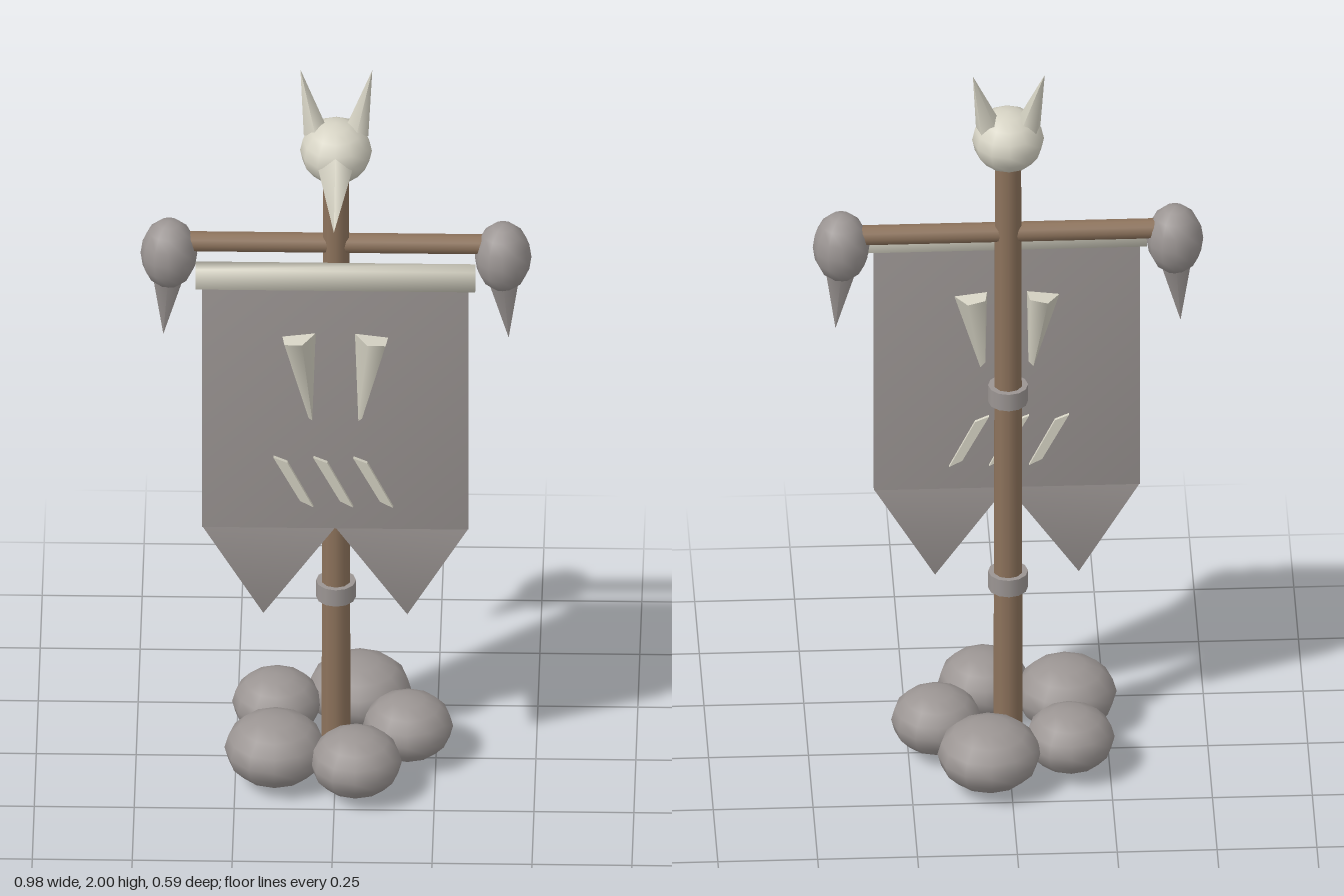
import * as THREE from 'three';
import { mergeVertices } from 'three/addons/utils/BufferGeometryUtils.js';

const material = (name, color) => {
  const m = new THREE.MeshStandardMaterial({ color });
  m.name = name;
  return m;
};

export function createModel() {
  const stone = material('stone grey', 0x9b9593);
  const bone = material('bone', 0xd6d3c4);
  const wood = material('wood', 0x8d735c);
  const model = new THREE.Group();

  const add = (name, geometry, mat, x = 0, y = 0, z = 0) => {
    const mesh = new THREE.Mesh(geometry, mat);
    mesh.name = name;
    mesh.position.set(x, y, z);
    model.add(mesh);
    return mesh;
  };

  // Shares corner normals so slabs shade softly
  const soften = (geometry) => {
    geometry.deleteAttribute('normal');
    geometry.deleteAttribute('uv');
    const g = mergeVertices(geometry, 1e-4);
    g.computeVertexNormals();
    return g;
  };

  const ellipsoid = (name, mat, x, y, z, rx, ry, rz, sides = 12) =>
    add(name, new THREE.SphereGeometry(1, sides, 8).scale(rx, ry, rz), mat, x, y, z);

  // Cone from a base centre to a tip
  const spike = (name, mat, base, tip, rx, rz, sides, turn = 0) => {
    const a = new THREE.Vector3(...base), b = new THREE.Vector3(...tip);
    const axis = b.clone().sub(a), length = axis.length();
    const g = new THREE.ConeGeometry(1, length, sides).rotateY(turn).scale(rx, 1, rz);
    g.translate(0, length / 2, 0);
    const mesh = add(name, g, mat, ...base);
    mesh.quaternion.setFromUnitVectors(new THREE.Vector3(0, 1, 0), axis.normalize());
    return mesh;
  };

  const slab = (points, depth) => {
    const shape = new THREE.Shape(points.map(([x, y]) => new THREE.Vector2(x, y)));
    return new THREE.ExtrudeGeometry(shape, { depth, bevelEnabled: false })
      .translate(0, 0, -depth / 2);
  };

  // Stones around the foot: x, z, radius, half height
  [
    [0.055, -0.168, 0.13, 0.088],
    [-0.15, -0.103, 0.112, 0.083],
    [0.18, 0.003, 0.113, 0.083],
    [-0.15, 0.115, 0.127, 0.09],
    [0.053, 0.175, 0.115, 0.085],
  ].forEach(([x, z, r, h]) => ellipsoid('footStone', stone, x, 0.097, z, r, h, r));

  // Pole, bands and crossbar
  add('pole', new THREE.CylinderGeometry(0.034, 0.038, 1.75, 10), wood, 0, 0.875, 0.005);
  for (const y of [0.5, 1.045])
    add('poleBand', new THREE.CylinderGeometry(0.05, 0.05, 0.048, 12), stone, 0, y, 0.005);
  add('crossbar', new THREE.CylinderGeometry(0.026, 0.026, 0.76, 10).rotateZ(Math.PI / 2),
    wood, 0, 1.517, 0.005);

  // Banner with rod and two pointed tails
  add('bannerRod', soften(new THREE.BoxGeometry(0.7, 0.058, 0.04)), bone, 0, 1.461, 0.077);
  add('bannerCloth', soften(new THREE.BoxGeometry(0.666, 0.72, 0.03)), stone, 0, 1.092, 0.08);

  for (const s of [-1, 1]) {
    const tail = [[0, 0.734], [s * 0.18, 0.48], [s * 0.333, 0.734]];
    add('bannerTail', soften(slab(tail, 0.028)), stone, 0, 0, 0.08);

    // Crossbar ends with hanging claws
    ellipsoid('barEnd', stone, s * 0.418, 1.484, 0.008, 0.071, 0.094, 0.074);
    spike('hangingClaw', stone, [s * 0.42, 1.42, 0.008], [s * 0.432, 1.245, 0.008],
      0.043, 0.04, 6);

    // Fangs through the cloth
    spike('bannerFang', bone, [s * 0.091, 1.3, 0.081], [s * 0.053, 1.0, 0.085],
      0.046, 0.073, 6, Math.PI / 6);

    // Skull horns
    spike('horn', bone, [s * 0.05, 1.835, -0.01], [s * 0.09, 2.0, -0.037], 0.033, 0.033, 5);
  }

  // Slanted claw marks through the cloth
  const mark = [[-0.155, 0.945], [-0.12, 0.93], [-0.055, 0.8], [-0.088, 0.818]];
  for (let i = 0; i < 3; i++)
    add('clawMark', slab(mark, 0.05), bone, i * 0.1, 0, 0.081);

  // Bird skull and beak
  ellipsoid('skull', bone, 0, 1.789, 0.005, 0.09, 0.08, 0.097);
  spike('beak', bone, [0, 1.772, 0.06], [0, 1.717, 0.28], 0.05, 0.06, 5, Math.PI);

  return model;
}
